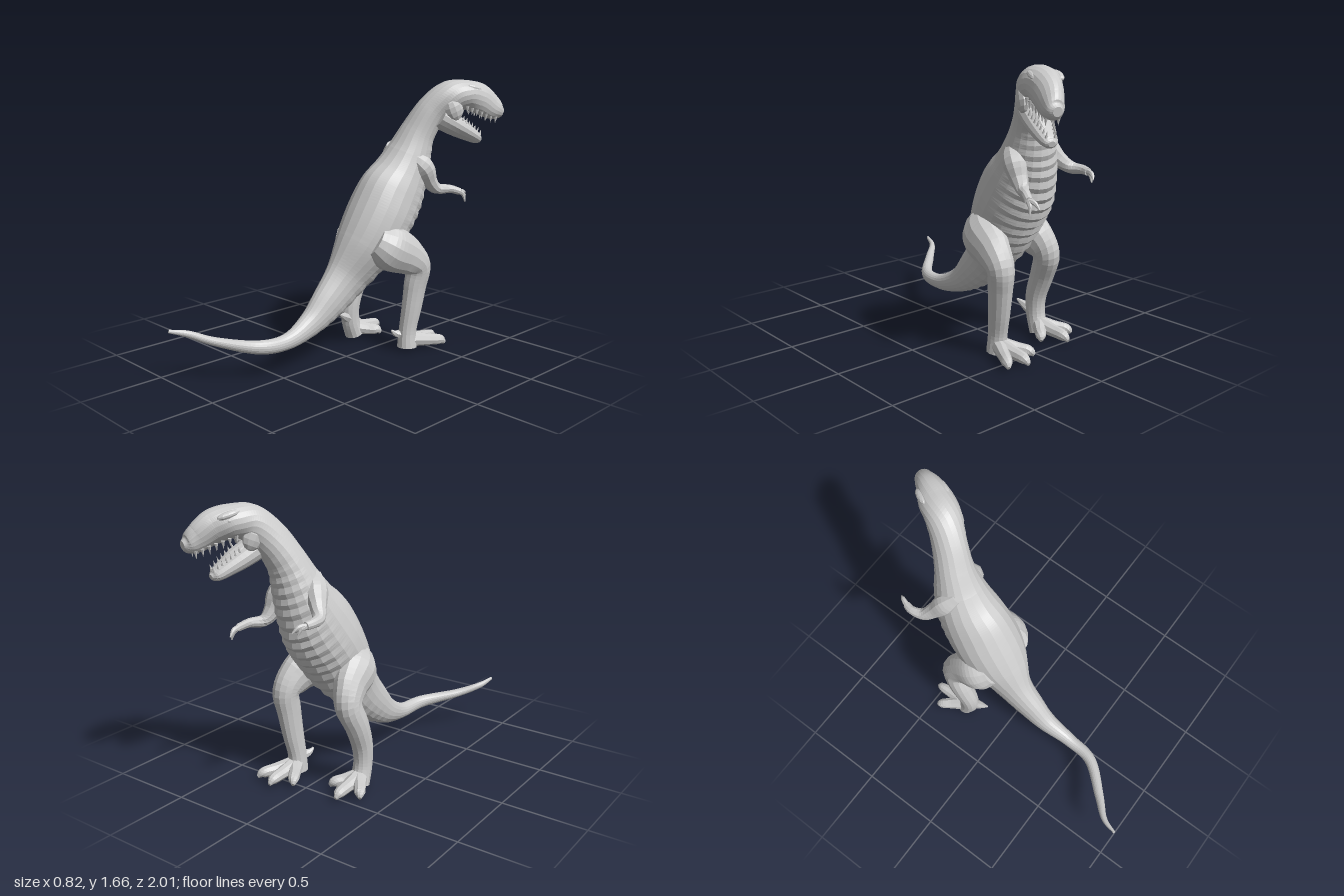
import * as THREE from 'three';

const skin = new THREE.MeshStandardMaterial({ color: 0xcccccc, flatShading: true });

// Loft of elliptical rings through sections [x, y, z, halfWidth, halfHeight].
// swell(angle, k) scales the ring radius; k is the section index (fractional).
function loft(name, sections, { perSection = 4, sides = 14, swell = () => 1 } = {}) {
  const path = new THREE.CatmullRomCurve3(
    sections.map(s => new THREE.Vector3(s[0], s[1], s[2])), false, 'catmullrom', 0.5);
  const sizes = new THREE.CatmullRomCurve3(
    sections.map(s => new THREE.Vector3(s[3], s[4] ?? s[3], 0)), false, 'catmullrom', 0.5);
  const rings = (sections.length - 1) * perSection;
  const pos = [], idx = [];
  for (let i = 0; i <= rings; i++) {
    const u = i / rings;
    const c = path.getPoint(u), r = sizes.getPoint(u), t = path.getTangent(u);
    const side = new THREE.Vector3(1, 0, 0).addScaledVector(t, -t.x).normalize();
    const up = new THREE.Vector3().crossVectors(side, t);
    for (let j = 0; j < sides; j++) {
      const a = (j / sides) * Math.PI * 2;
      const f = swell(a, u * (sections.length - 1));
      const p = c.clone()
        .addScaledVector(side, Math.cos(a) * Math.max(r.x, 0.002) * f)
        .addScaledVector(up, Math.sin(a) * Math.max(r.y, 0.002) * f);
      pos.push(p.x, p.y, p.z);
    }
  }
  for (let i = 0; i < rings; i++) {
    for (let j = 0; j < sides; j++) {
      const a = i * sides + j, b = i * sides + (j + 1) % sides;
      idx.push(a, a + sides, b, b, a + sides, b + sides);
    }
  }
  // End caps
  const start = pos.length / 3, first = path.getPoint(0), last = path.getPoint(1);
  pos.push(first.x, first.y, first.z, last.x, last.y, last.z);
  for (let j = 0; j < sides; j++) {
    const n = (j + 1) % sides, e = rings * sides;
    idx.push(start, j, n, start + 1, e + n, e + j);
  }
  const geo = new THREE.BufferGeometry();
  geo.setAttribute('position', new THREE.Float32BufferAttribute(pos, 3));
  geo.setIndex(idx);
  geo.computeVertexNormals();
  const mesh = new THREE.Mesh(geo, skin);
  mesh.name = name;
  return mesh;
}

// Tail, torso, neck and upper head in one sweep, with folds across the belly
function body() {
  const sections = [
    [-0.40, 0.295, 1.00, 0.008, 0.01],
    [-0.36, 0.265, 0.90, 0.018, 0.02],
    [-0.25, 0.22, 0.79, 0.028, 0.026],
    [-0.09, 0.182, 0.61, 0.036, 0.04],
    [-0.06, 0.178, 0.42, 0.042, 0.05],
    [-0.065, 0.24, 0.24, 0.062, 0.08],
    [-0.06, 0.34, 0.10, 0.082, 0.12],
    [-0.05, 0.48, -0.05, 0.11, 0.155],
    [-0.02, 0.66, -0.18, 0.18, 0.20],
    [0.0, 0.82, -0.28, 0.20, 0.22],
    [0.015, 0.96, -0.37, 0.187, 0.225],
    [0.03, 1.08, -0.44, 0.165, 0.185],
    [0.05, 1.20, -0.49, 0.14, 0.145],
    [0.08, 1.33, -0.535, 0.11, 0.112],
    [0.135, 1.46, -0.60, 0.095, 0.105],
    [0.20, 1.545, -0.68, 0.102, 0.10],
    [0.25, 1.56, -0.77, 0.10, 0.09],
    [0.30, 1.535, -0.85, 0.078, 0.095],
    [0.34, 1.485, -0.92, 0.06, 0.08],
    [0.362, 1.46, -0.965, 0.05, 0.055],
    [0.372, 1.455, -0.995, 0.025, 0.025],
  ];
  const swell = (a, k) => {
    const belly = Math.max(0, -Math.sin(a) - 0.15);
    const zone = THREE.MathUtils.smoothstep(k, 4, 6) * (1 - THREE.MathUtils.smoothstep(k, 12, 14));
    return 1 + 0.035 * belly * zone * Math.sin(k * Math.PI * 5);
  };
  return loft('body', sections, { perSection: 10, sides: 20, swell });
}

function cone(name, base, dir, radius, length) {
  const mesh = new THREE.Mesh(new THREE.ConeGeometry(radius, length, 6), skin);
  const d = dir.clone().normalize();
  mesh.name = name;
  mesh.quaternion.setFromUnitVectors(new THREE.Vector3(0, 1, 0), d);
  mesh.position.copy(base).addScaledVector(d, length / 2);
  return mesh;
}

function blob(name, p, sx, sy, sz, turn, tilt = 0) {
  const mesh = new THREE.Mesh(new THREE.SphereGeometry(1, 10, 7), skin);
  mesh.name = name;
  mesh.scale.set(sx, sy, sz);
  mesh.position.copy(p);
  mesh.rotation.set(tilt, turn, 0, 'YXZ');
  return mesh;
}

// Jaw, tongue, teeth, brows and nostrils, laid out along the turned head
function headParts() {
  const head = new THREE.Group();
  head.name = 'headDetails';
  head.add(loft('lowerJaw', [
    [0.18, 1.43, -0.61, 0.08, 0.07],
    [0.225, 1.37, -0.71, 0.077, 0.06],
    [0.262, 1.32, -0.80, 0.064, 0.046],
    [0.284, 1.287, -0.86, 0.046, 0.033],
    [0.292, 1.28, -0.885, 0.02, 0.015],
  ]));
  head.add(loft('tongue', [
    [0.21, 1.44, -0.69, 0.04, 0.02],
    [0.25, 1.385, -0.77, 0.038, 0.018],
    [0.28, 1.34, -0.83, 0.015, 0.008],
  ], { sides: 8 }));

  const side = new THREE.Vector3(0.89, 0, 0.45);
  const turn = -0.47;
  const at = (x, y, z, offset) => new THREE.Vector3(x, y, z).addScaledVector(side, offset);
  for (const s of [-1, 1]) {
    for (let i = 0; i < 7; i++) {
      const u = i / 6;
      const upper = at(0.25 + 0.1 * u, 1.495 - 0.07 * u, -0.76 - 0.18 * u, s * (0.07 - 0.038 * u));
      head.add(cone('upperTooth', upper, new THREE.Vector3(0, -1, 0.1), 0.011, 0.045));
      const lower = at(0.235 + 0.053 * u, 1.405 - 0.095 * u, -0.745 - 0.125 * u, s * (0.058 - 0.035 * u));
      head.add(cone('lowerTooth', lower, new THREE.Vector3(0.1, 1, -0.3), 0.009, 0.036));
    }
    head.add(blob('brow', at(0.26, 1.605, -0.80, s * 0.066), 0.024, 0.02, 0.065, turn, -0.25));
    head.add(blob('eye', at(0.262, 1.575, -0.795, s * 0.08), 0.014, 0.016, 0.02, turn));
    head.add(blob('nostril', at(0.352, 1.495, -0.95, s * 0.036), 0.012, 0.012, 0.018, turn));
    head.add(blob('cheek', at(0.205, 1.48, -0.68, s * 0.07), 0.035, 0.075, 0.06, turn, 0.4));
  }
  return head;
}

// Leg sections run from hip to sole; toes fan out from the ankle
function leg(name, sections, ankle, toes, spur) {
  const group = new THREE.Group();
  group.name = name;
  group.add(loft('thighAndShank', sections, { perSection: 5 }));
  const [ax, az] = ankle;
  for (const [x, z] of toes) {
    const mix = u => [ax + (x - ax) * u, az + (z - az) * u];
    const [x1, z1] = mix(0.5), [x2, z2] = mix(0.85);
    group.add(loft('toe', [
      [ax, 0.055, az, 0.05, 0.05],
      [x1, 0.042, z1, 0.037, 0.038],
      [x2, 0.034, z2, 0.03, 0.032],
      [x, 0.014, z, 0.01, 0.012],
    ], { sides: 9 }));
  }
  group.add(loft('spur', spur, { sides: 7 }));
  return group;
}

function arm(name, sections, claws) {
  const group = new THREE.Group();
  group.name = name;
  group.add(loft('armAndWrist', sections, { sides: 10 }));
  const w = sections[sections.length - 1];
  for (const [x, y, z] of claws) {
    group.add(loft('claw', [
      [w[0], w[1], w[2], 0.017],
      [(w[0] + x) / 2, (w[1] + y) / 2 + 0.012, (w[2] + z) / 2 - 0.006, 0.013],
      [x, y, z, 0.004],
    ], { sides: 7 }));
  }
  return group;
}

export function createModel() {
  const model = new THREE.Group();
  model.name = 'dinosaur';
  model.add(body(), headParts());

  // Left leg is planted forward, right leg stands further back
  model.add(leg('leftLeg', [
    [0.11, 0.72, -0.14, 0.08, 0.10],
    [0.15, 0.665, -0.22, 0.115, 0.14],
    [0.185, 0.60, -0.34, 0.095, 0.12],
    [0.20, 0.52, -0.42, 0.078, 0.085],
    [0.19, 0.40, -0.41, 0.064, 0.078],
    [0.18, 0.25, -0.39, 0.056, 0.07],
    [0.17, 0.12, -0.37, 0.052, 0.06],
    [0.17, 0.01, -0.365, 0.06, 0.065],
  ], [0.17, -0.38], [[0.055, -0.55], [0.17, -0.625], [0.29, -0.59]], [
    [0.165, 0.09, -0.36, 0.035], [0.14, 0.1, -0.30, 0.022], [0.125, 0.125, -0.27, 0.006],
  ]));
  model.add(leg('rightLeg', [
    [-0.12, 0.73, -0.14, 0.08, 0.10],
    [-0.155, 0.675, -0.22, 0.115, 0.14],
    [-0.185, 0.60, -0.32, 0.09, 0.115],
    [-0.21, 0.51, -0.37, 0.075, 0.085],
    [-0.233, 0.38, -0.32, 0.066, 0.075],
    [-0.235, 0.24, -0.27, 0.06, 0.066],
    [-0.235, 0.12, -0.265, 0.055, 0.06],
    [-0.235, 0.01, -0.30, 0.06, 0.06],
  ], [-0.235, -0.30], [[-0.12, -0.43], [-0.24, -0.535], [-0.35, -0.455]], [
    [-0.23, 0.12, -0.26, 0.04], [-0.215, 0.15, -0.20, 0.028], [-0.20, 0.18, -0.14, 0.006],
  ]));

  model.add(arm('leftArm', [
    [0.12, 1.20, -0.43, 0.04],
    [0.165, 1.13, -0.49, 0.07],
    [0.18, 1.04, -0.54, 0.05],
    [0.20, 0.99, -0.59, 0.035],
    [0.245, 0.985, -0.66, 0.026],
    [0.278, 0.965, -0.715, 0.022],
  ], [[0.27, 0.93, -0.785], [0.30, 0.90, -0.745]]));
  model.add(arm('rightArm', [
    [-0.03, 1.25, -0.43, 0.04],
    [-0.08, 1.18, -0.48, 0.065],
    [-0.13, 1.11, -0.53, 0.048],
    [-0.175, 1.065, -0.58, 0.035],
    [-0.195, 1.06, -0.65, 0.026],
    [-0.185, 1.055, -0.70, 0.022],
  ], [[-0.15, 1.025, -0.77], [-0.165, 1.005, -0.745]]));
  return model;
}
